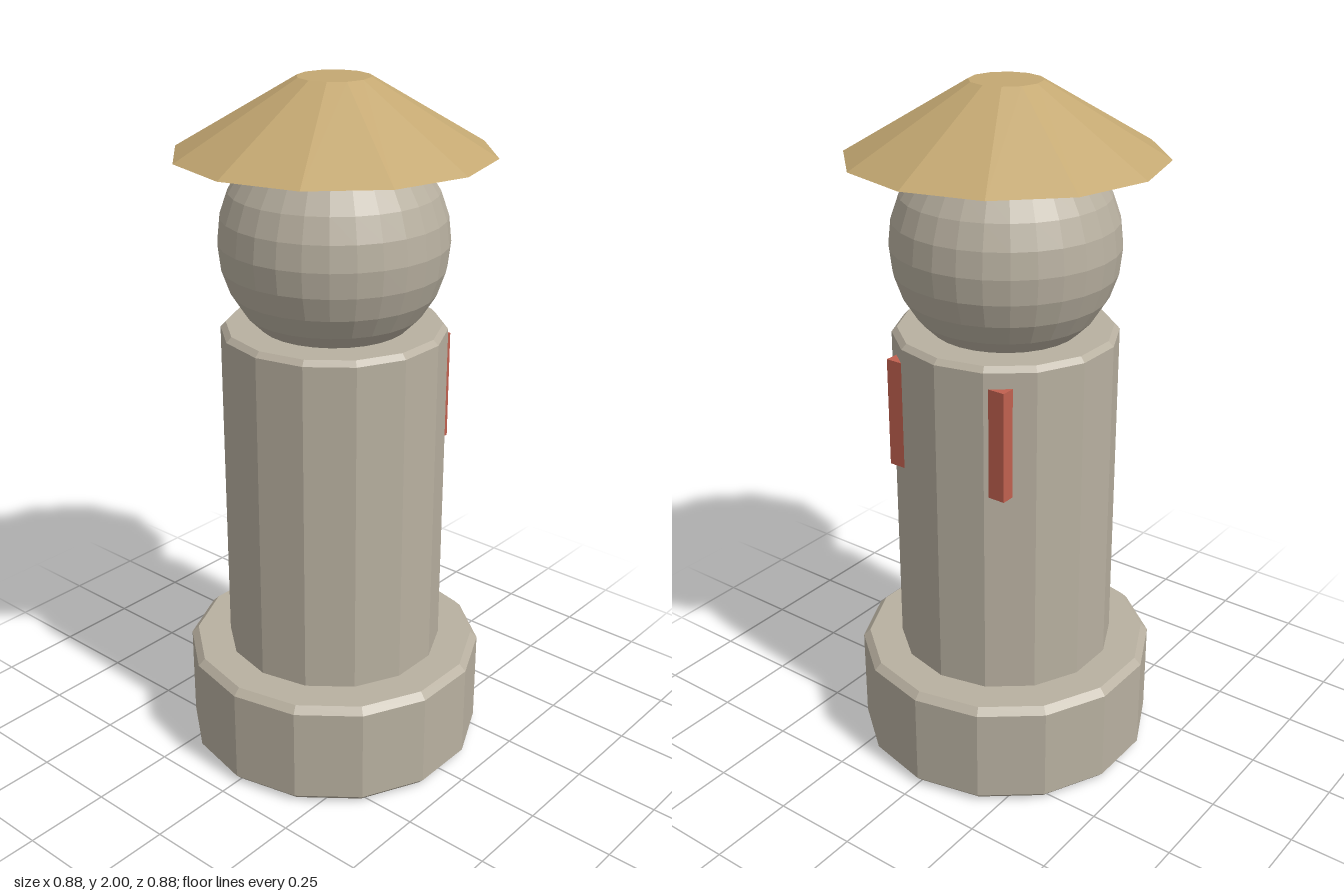
import * as THREE from 'three';

const stone = new THREE.MeshStandardMaterial({ color: 0xb8b0a0, flatShading: true });
const straw = new THREE.MeshStandardMaterial({ color: 0xc4a872, flatShading: true });
const red = new THREE.MeshStandardMaterial({ color: 0xc0604f, flatShading: true });

function part(name, geometry, material, x, y, z) {
  const mesh = new THREE.Mesh(geometry, material);
  mesh.name = name;
  mesh.position.set(x, y, z);
  return mesh;
}

// Upright 14-sided drum with a small bevel at both rims
function bevelledDrum(radius, height, bevel) {
  const profile = [
    [0, 0], [radius - bevel, 0], [radius, bevel],
    [radius, height - bevel], [radius - bevel, height], [0, height],
  ].map(([r, y]) => new THREE.Vector2(r, y));
  return new THREE.LatheGeometry(profile, 14);
}

export function createModel() {
  const model = new THREE.Group();
  model.name = 'hattedFigure';

  // Plinth and body
  model.add(part('base', bevelledDrum(0.44, 0.32, 0.02), stone, 0, 0, 0));
  model.add(part('body', bevelledDrum(0.32, 1.02, 0.015), stone, 0, 0.3, 0));

  // Round head sunk into the body and hat
  model.add(part('head', new THREE.SphereGeometry(0.32, 28, 14), stone, 0, 1.56, 0));

  // Truncated cone hat
  model.add(part('hat', new THREE.CylinderGeometry(0.1, 0.44, 0.2, 12), straw, 0, 1.9, 0));

  // Pair of upright strips on the back
  for (const [side, name] of [[1, 'leftBackStrip'], [-1, 'rightBackStrip']]) {
    model.add(part(name, new THREE.BoxGeometry(0.06, 0.32, 0.04), red, side * 0.17, 1.1, -0.26));
  }
  return model;
}
